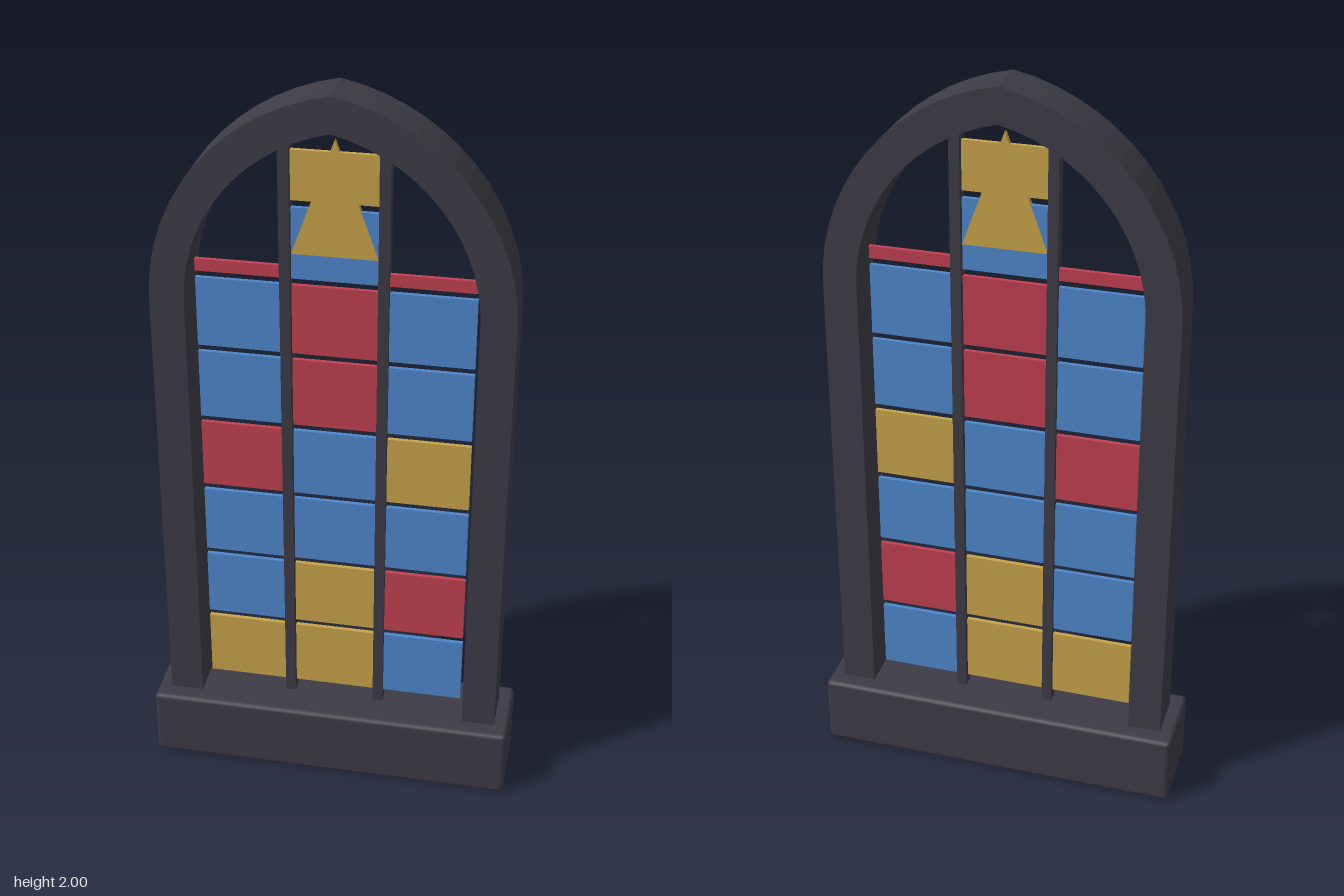
import * as THREE from 'three';
import { RoundedBoxGeometry } from 'three/addons/geometries/RoundedBoxGeometry.js';

const material = (name, color) => {
  const m = new THREE.MeshStandardMaterial({ color });
  m.name = name;
  return m;
};

export function createModel() {
  const model = new THREE.Group();
  model.name = 'archedWindow';
  const stone = material('darkStone', 0x3d3b45);
  const glass = {
    B: material('blueGlass', 0x4d87cc),
    G: material('goldGlass', 0xc8a348),
    R: material('redGlass', 0xc04050),
  };

  const add = (name, geometry, mat, x = 0, y = 0, z = 0) => {
    const mesh = new THREE.Mesh(geometry, mat);
    mesh.name = name;
    mesh.position.set(x, y, z);
    model.add(mesh);
    return mesh;
  };

  // Chamfered sill
  add('sill', new RoundedBoxGeometry(1.01, 0.2, 0.232, 1, 0.012), stone, 0, 0.1, 0);

  // Pointed arch outline: straight jambs, then two arcs meeting at the apex
  const spring = 1.44, offset = 0.105, bottom = 0.19;
  const archPoints = (halfWidth) => {
    const r = halfWidth + offset, end = Math.acos(offset / r), n = 14;
    const right = [];
    for (let i = 0; i <= n; i++) {
      const a = (end * i) / n;
      right.push(new THREE.Vector2(r * Math.cos(a) - offset, spring + r * Math.sin(a)));
    }
    right.unshift(new THREE.Vector2(halfWidth, bottom));
    const left = right.slice(0, -1).reverse().map((p) => new THREE.Vector2(-p.x, p.y));
    return [...right, ...left];
  };
  const depth = 0.134;
  const frame = new THREE.Shape([...archPoints(0.466), ...archPoints(0.375).reverse()]);
  add('archFrame', new THREE.ExtrudeGeometry(frame, { depth, bevelEnabled: false }), stone, 0, 0, -depth / 2);

  // Upright bars between the columns
  for (const side of [-1, 1]) {
    add(side > 0 ? 'leftMullion' : 'rightMullion',
      new THREE.BoxGeometry(0.028, 1.665, 0.036), stone, side * 0.126, 1.0275, 0);
  }

  // Glass panes, rows from the bottom up
  const thick = 0.012, paneWidth = 0.222, paneHeight = 0.193, pitch = 0.2112;
  const pane = (name, colour, x, low, high) => add(name,
    new THREE.BoxGeometry(paneWidth, high - low, thick), glass[colour], x, (low + high) / 2, 0);
  ['GGB', 'BGR', 'BBB', 'RBG', 'BRB', 'BRB'].forEach((row, i) => {
    const low = 0.231 + i * pitch;
    [...row].forEach((c, j) => pane(`paneRow${i + 1}Column${j + 1}`, c, (j - 1) * 0.25, low, low + paneHeight));
  });

  // Short red strips and the taller middle panes at the top
  pane('rightTopStrip', 'R', -0.25, 1.498, 1.531);
  pane('leftTopStrip', 'R', 0.25, 1.498, 1.531);
  pane('middleUpperPane', 'B', 0, 1.498, 1.69);
  pane('middleTopPane', 'G', 0, 1.709, 1.84);

  // Gold triangle laid over the middle top panes
  const triangle = new THREE.Shape([
    new THREE.Vector2(-0.111, 1.566), new THREE.Vector2(0.111, 1.566), new THREE.Vector2(0, 1.872),
  ]);
  const triDepth = thick + 0.002;
  add('pointedPane', new THREE.ExtrudeGeometry(triangle, { depth: triDepth, bevelEnabled: false }),
    glass.G, 0, 0, -triDepth / 2);

  return model;
}
